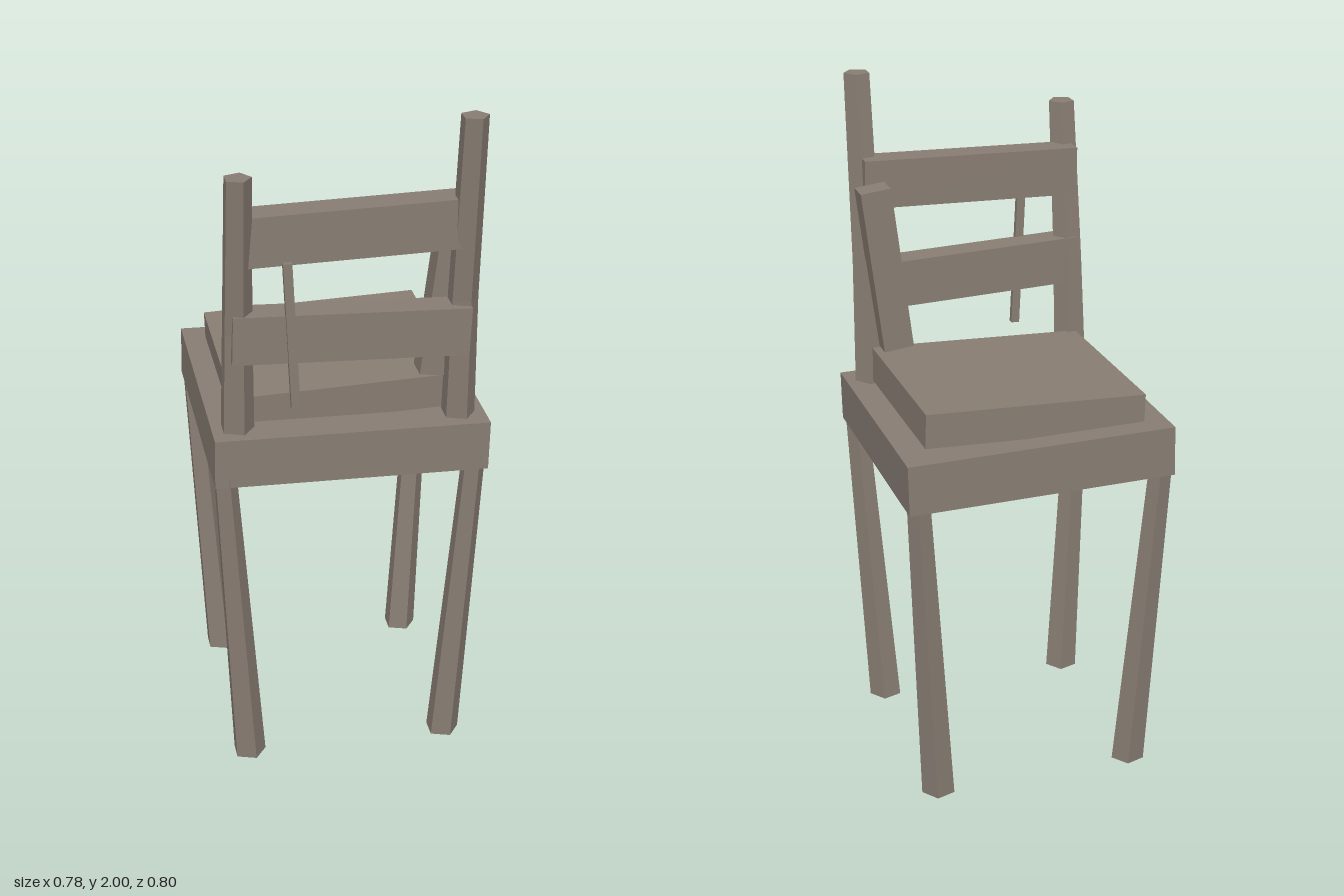
import * as THREE from 'three';

const wood = new THREE.MeshStandardMaterial({ color: 0x887d73 });
wood.name = 'weathered wood';
wood.flatShading = true;

// Five-sided pole through stations [x, y, z, radius], listed from bottom to top
function pole(name, stations) {
  const rows = stations.length - 1;
  const geo = new THREE.CylinderGeometry(1, 1, 1, 5, rows, false, Math.PI / 2);
  const pos = geo.attributes.position;
  for (let i = 0; i < pos.count; i++) {
    const [x, y, z, r] = stations[Math.round((pos.getY(i) + 0.5) * rows)];
    pos.setXYZ(i, x + pos.getX(i) * r, y, z + pos.getZ(i) * r);
  }
  geo.computeVertexNormals();
  const mesh = new THREE.Mesh(geo, wood);
  mesh.name = name;
  return mesh;
}

// Board given by size, centre and a small tilt
function board(name, size, centre, tiltZ = 0, tiltX = 0) {
  const mesh = new THREE.Mesh(new THREE.BoxGeometry(...size), wood);
  mesh.name = name;
  mesh.position.set(...centre);
  mesh.rotation.set(tiltX, 0, tiltZ);
  return mesh;
}

export function createModel() {
  const chair = new THREE.Group();
  chair.name = 'crookedChair';

  // Splayed legs, thicker at the floor
  for (const [side, footX, topX] of [['Right', -0.304, -0.362], ['Left', 0.296, 0.355]]) {
    for (const [end, footZ, topZ] of [['back', 0.275, 0.318], ['front', -0.322, -0.367]]) {
      chair.add(pole(end + 'Leg' + side, [[footX, 0, footZ, 0.05], [topX, 0.99, topZ, 0.034]]));
    }
  }

  // Seat frame and raised seat pad
  chair.add(board('seatFrame', [0.782, 0.147, 0.75], [0, 1.024, -0.026], -0.02, 0.004));
  chair.add(board('seatPad', [0.645, 0.1, 0.575], [-0.002, 1.143, -0.043], 0.032, 0.014));

  // Bent back posts, one shorter than the other
  chair.add(pole('backPostRight', [
    [-0.318, 1.08, 0.271, 0.05], [-0.316, 1.41, 0.298, 0.044], [-0.314, 1.872, 0.362, 0.039]]));
  chair.add(pole('backPostLeft', [
    [0.315, 1.07, 0.27, 0.05], [0.313, 1.46, 0.295, 0.044], [0.312, 2, 0.362, 0.039]]));

  // Cross rails
  chair.add(board('upperRail', [0.65, 0.142, 0.085], [-0.003, 1.685, 0.302], 0.02));
  chair.add(board('lowerRail', [0.66, 0.14, 0.085], [-0.004, 1.388, 0.306], -0.04));

  // Loose slat and leaning plank
  chair.add(board('thinSlat', [0.025, 0.43, 0.018], [-0.174, 1.405, 0.35], 0.045));
  chair.add(board('leaningPlank', [0.09, 0.49, 0.075], [0.28, 1.45, 0.222], -0.122));

  return chair;
}
